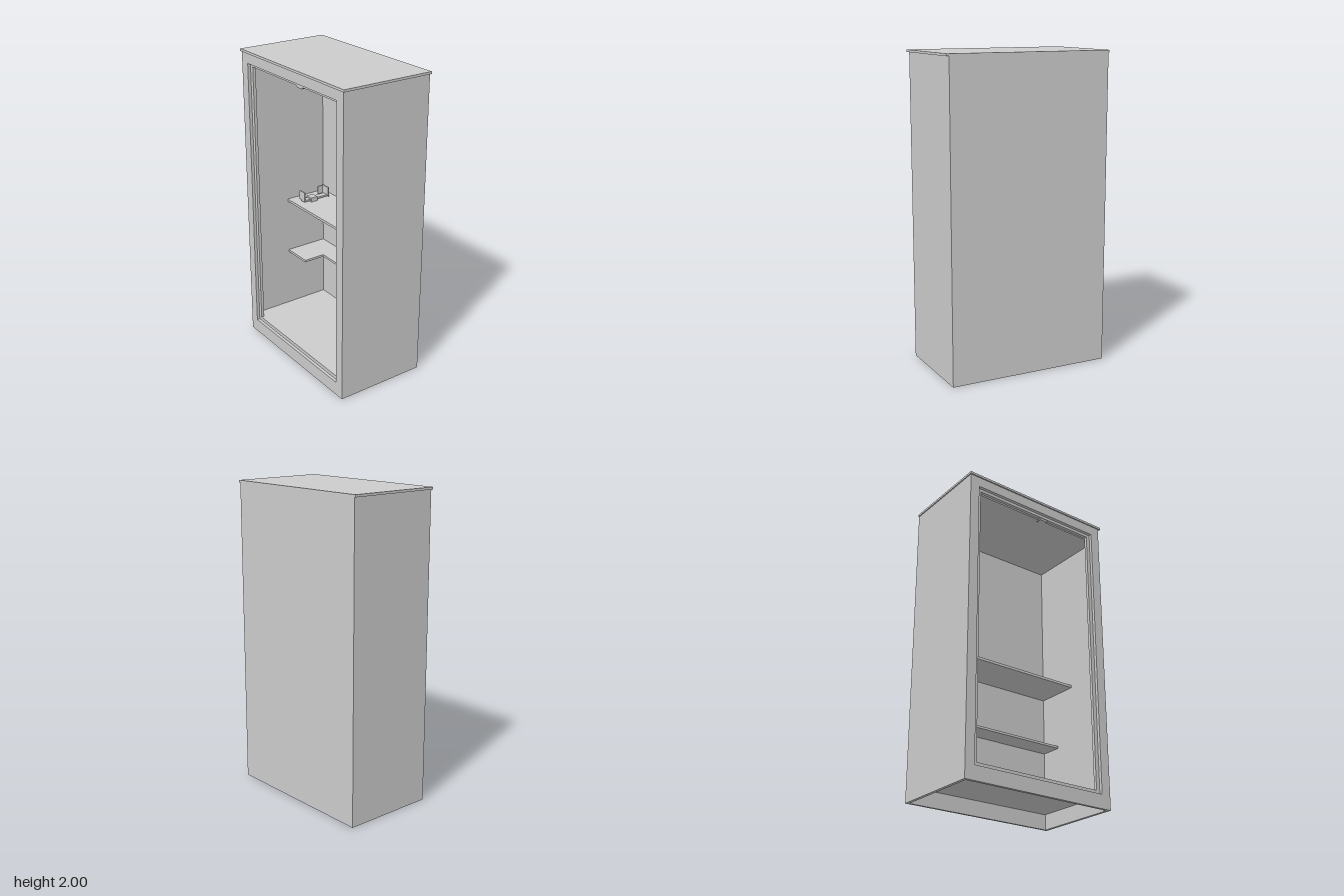
import * as THREE from 'three';

const material = new THREE.MeshStandardMaterial({ color: 0xcccccc, flatShading: true });

// Box given by its min/max on each axis
function box(name, [x0, x1], [y0, y1], [z0, z1]) {
  const mesh = new THREE.Mesh(new THREE.BoxGeometry(x1 - x0, y1 - y0, z1 - z0), material);
  mesh.position.set((x0 + x1) / 2, (y0 + y1) / 2, (z0 + z1) / 2);
  mesh.name = name;
  return mesh;
}

function rect(path, x0, x1, y0, y1) {
  path.moveTo(x0, y0);
  path.lineTo(x1, y0);
  path.lineTo(x1, y1);
  path.lineTo(x0, y1);
  path.closePath();
  return path;
}

// Upright rectangular frame with an opening
function frame(name, outer, opening, z0, z1) {
  const shape = rect(new THREE.Shape(), ...outer);
  shape.holes.push(rect(new THREE.Path(), ...opening));
  const geometry = new THREE.ExtrudeGeometry(shape, { depth: z1 - z0, bevelEnabled: false });
  const mesh = new THREE.Mesh(geometry, material);
  mesh.position.z = z0;
  mesh.name = name;
  return mesh;
}

export function createModel() {
  const model = new THREE.Group();
  model.name = 'cabinet';
  const W = 0.533, IN = 0.513, BACK = -0.31, FRONT = 0.302, INBACK = -0.295;

  const body = new THREE.Group();
  body.name = 'body';
  body.position.x = -0.004;
  model.add(body);

  // Carcass, open underneath
  for (const s of [-1, 1]) {
    const xs = s < 0 ? [-W, -IN] : [IN, W];
    body.add(box(s < 0 ? 'rightWall' : 'leftWall', xs, [0, 1.985], [BACK, FRONT - 0.02]));
  }
  body.add(box('backPanel', [-IN, IN], [0, 1.985], [BACK, INBACK]));
  body.add(box('floor', [-IN, IN], [0.1, 0.115], [INBACK, 0.262]));
  body.add(box('ceiling', [-IN, IN], [1.89, 1.905], [INBACK, 0.262]));

  // Stepped door frame
  body.add(frame('frontFrame', [-W, W, 0, 1.985], [-0.468, 0.468, 0.09, 1.92], FRONT - 0.02, FRONT));
  body.add(frame('rebateFrame', [-IN, IN, 0.03, 1.985], [-0.442, 0.442, 0.115, 1.9], 0.262, FRONT - 0.02));

  // Small catch under the top of the frame
  const catchShape = new THREE.Shape([[0.035, 1.9], [0.045, 1.887], [0.095, 1.887], [0.105, 1.9]]
    .map(([x, y]) => new THREE.Vector2(x, y)));
  const latch = new THREE.Mesh(
    new THREE.ExtrudeGeometry(catchShape, { depth: 0.04, bevelEnabled: false }), material);
  latch.position.z = 0.238;
  latch.name = 'doorCatch';
  body.add(latch);

  // Shelves: a full one, and an L-shaped one below
  body.add(box('upperShelf', [-IN, IN], [0.898, 0.915], [INBACK, 0]));
  const plan = [[-IN, 0], [-0.308, 0], [-0.308, -0.15], [IN, -0.15], [IN, INBACK], [-IN, INBACK]];
  const lShape = new THREE.Shape(plan.map(([x, z]) => new THREE.Vector2(x, -z)));
  const lower = new THREE.Mesh(
    new THREE.ExtrudeGeometry(lShape, { depth: 0.015, bevelEnabled: false }), material);
  lower.rotation.x = -Math.PI / 2;
  lower.position.y = 0.515;
  lower.name = 'lowerShelf';
  body.add(lower);

  // Bracket fitting standing on the upper shelf
  const fitting = new THREE.Group();
  fitting.name = 'shelfFitting';
  fitting.add(box('rearPlate', [-0.445, -0.37], [0.925, 0.99], [-0.245, -0.237]));
  fitting.add(box('frontPlate', [-0.445, -0.385], [0.93, 0.99], [-0.06, -0.052]));
  fitting.add(box('sidePlate', [-0.445, -0.437], [0.93, 0.985], [-0.245, -0.2]));
  fitting.add(box('bridge', [-0.425, -0.385], [0.922, 0.934], [-0.24, -0.052]));
  fitting.add(box('clamp', [-0.43, -0.375], [0.915, 0.945], [-0.15, -0.1]));
  fitting.add(box('neck', [-0.425, -0.38], [0.865, 0.898], [-0.16, -0.09]));
  fitting.add(box('stem', [-0.42, -0.388], [0.832, 0.865], [-0.145, -0.105]));
  body.add(fitting);

  // Overhanging lid, flush at the back
  model.add(box('lid', [-0.543, 0.543], [1.985, 2], [BACK, 0.31]));
  return model;
}
